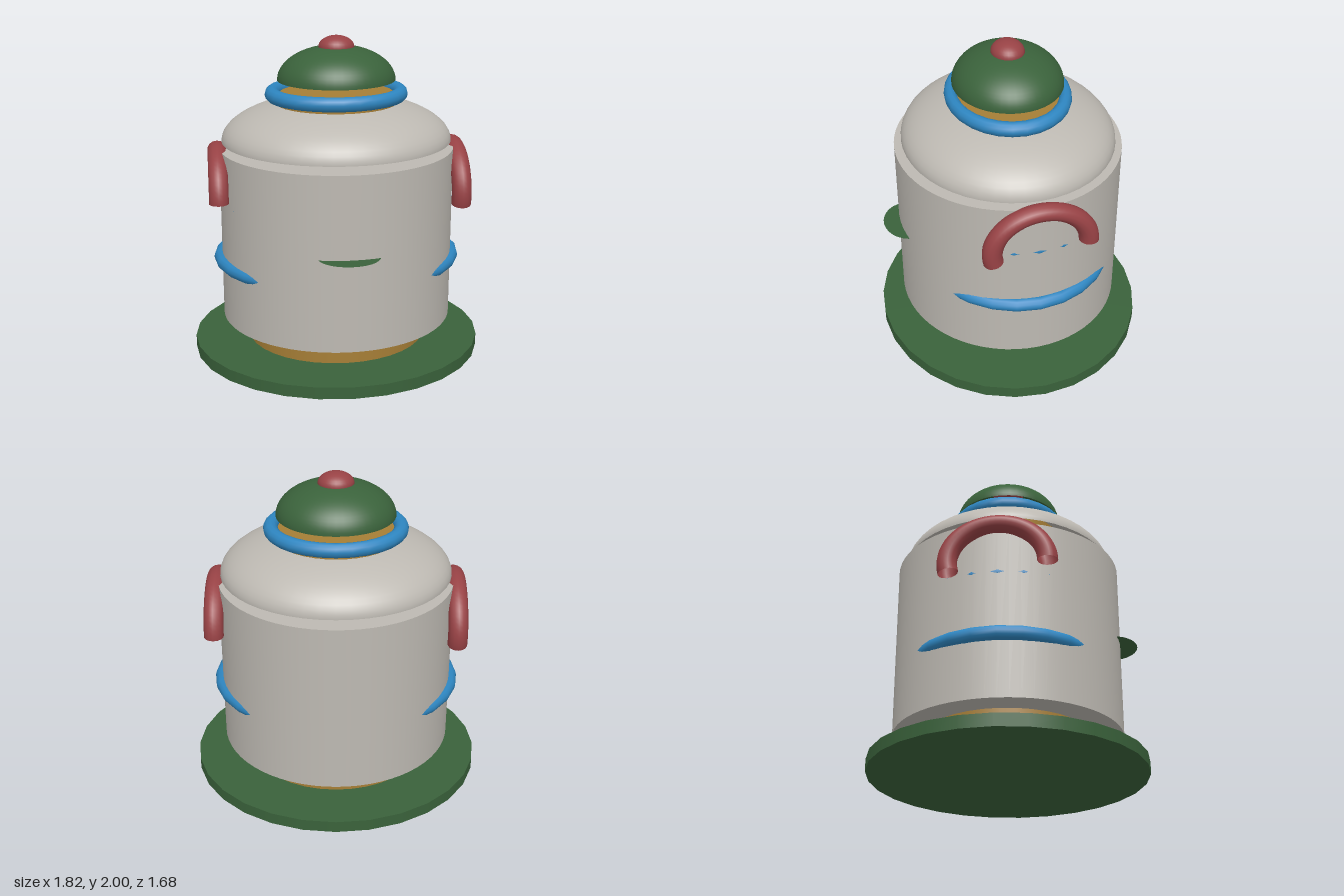
import * as THREE from 'three';

const mat = (name, color, side = THREE.FrontSide) => {
  const m = new THREE.MeshStandardMaterial({ color, side });
  m.name = name;
  return m;
};

export function createModel() {
  const group = new THREE.Group();
  group.name = 'lidded canister';
  const grey = mat('warm grey', 0xbdb9b2, THREE.DoubleSide);
  const green = mat('dark green', 0x3a623b, THREE.DoubleSide);
  const gold = mat('ochre gold', 0xa67e36);
  const blue = mat('bright blue', 0x2e86c1);
  const red = mat('brick red', 0x984245, THREE.DoubleSide);

  const add = (name, geometry, material, y) => {
    const mesh = new THREE.Mesh(geometry, material);
    mesh.name = name;
    mesh.position.y = y;
    group.add(mesh);
    return mesh;
  };

  // Upright oval drum between two heights
  const drum = (name, rx, rz, y0, y1, sides, material) =>
    add(name, new THREE.CylinderGeometry(1, 1, y1 - y0, sides).scale(rx, 1, rz), material, (y0 + y1) / 2);

  // Open oval dome standing on its rim
  const dome = (name, rx, rz, y0, height, material) =>
    add(name, new THREE.SphereGeometry(1, 48, 16, 0, Math.PI * 2, 0, Math.PI / 2).scale(rx, height, rz), material, y0);

  // Horizontal oval ring, sized by its outer radii
  const ring = (name, rx, rz, tube, y, material) =>
    add(name, new THREE.TorusGeometry(rx - tube, tube, 12, 28).rotateX(Math.PI / 2).scale(1, 1, rz / rx), material, y);

  // Base, foot and body
  drum('base', 0.91, 0.84, 0, 0.075, 28, green);
  drum('foot', 0.565, 0.52, 0.075, 0.23, 36, gold);
  drum('body', 0.725, 0.695, 0.23, 1.32, 64, grey);

  // Bands sunk into the body, showing only at the sides
  ring('lowerBand', 0.777, 0.656, 0.042, 0.61, blue);
  ring('upperBand', 0.728, 0.68, 0.042, 1.0, blue);

  // Thin ledge at the front
  const ledge = add('frontLedge', new THREE.CircleGeometry(1, 28).rotateX(-Math.PI / 2).scale(0.185, 1, 0.155), green, 0.81);
  ledge.position.z = 0.645;

  // Shoulder, neck and collar
  dome('shoulder', 0.71, 0.65, 1.36, 0.27, grey);
  drum('neck', 0.375, 0.34, 1.43, 1.65, 36, gold);
  ring('collar', 0.44, 0.378, 0.045, 1.646, blue);

  // Cap and knob
  dome('cap', 0.362, 0.332, 1.73, 0.21, green);
  add('knob', new THREE.SphereGeometry(1, 28, 16).scale(0.11, 0.07, 0.1), red, 1.93);

  // Arched handles, each a turned copy of the other
  const arch = new THREE.TorusGeometry(0.29, 0.06, 14, 32, Math.PI * 1.075)
    .scale(1, 0.857, 1)
    .rotateY(Math.PI / 2);
  for (const [name, side] of [['leftHandle', 1], ['rightHandle', -1]]) {
    const handle = add(name, arch, red, 1.052);
    handle.position.x = 0.738 * side;
    handle.rotation.y = side > 0 ? 0 : Math.PI;
  }

  return group;
}
